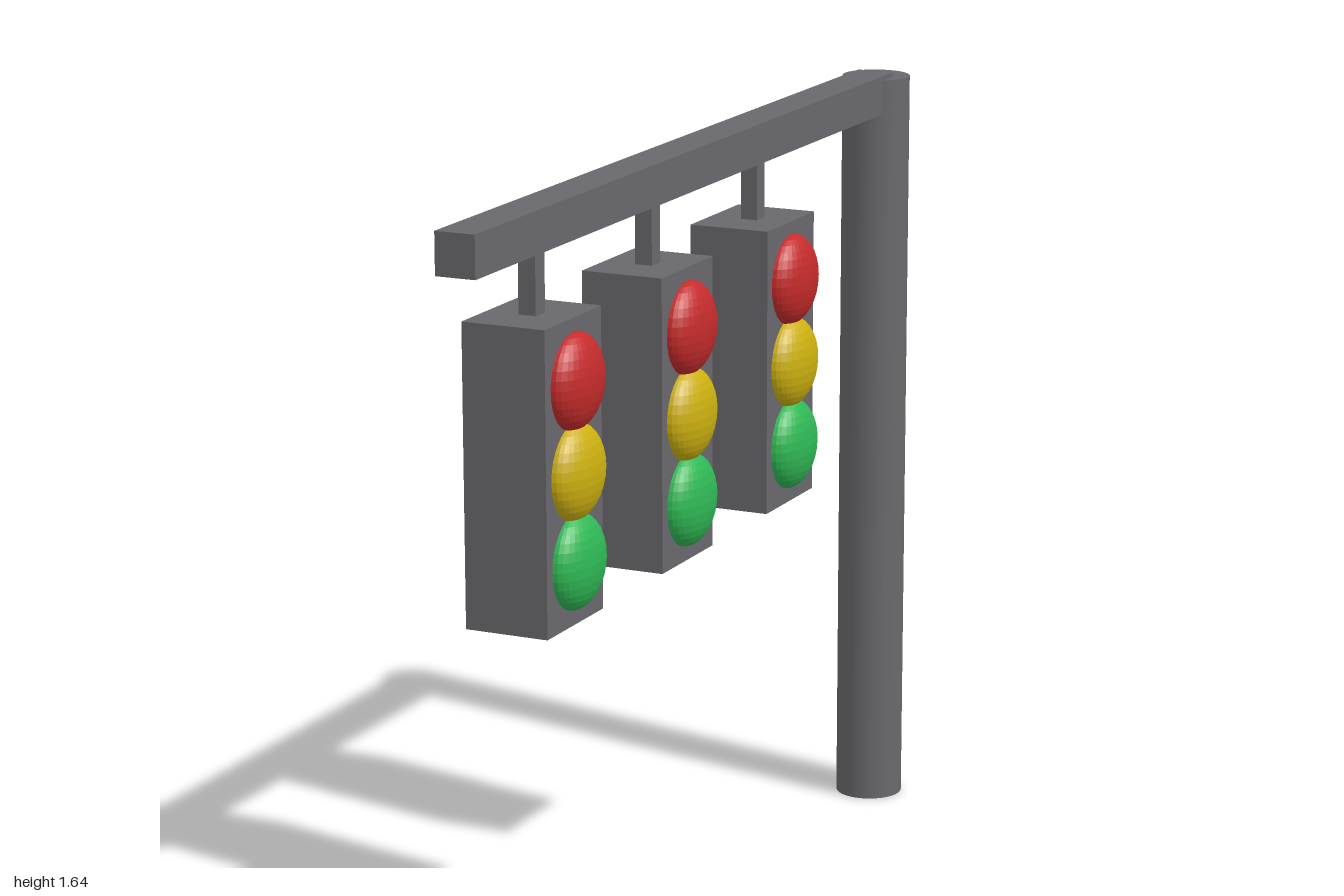
import * as THREE from 'three';

const paint = (color, flatShading = false) => new THREE.MeshStandardMaterial({ color, flatShading });

function addMesh(parent, name, geometry, material, x, y, z) {
  const mesh = new THREE.Mesh(geometry, material);
  mesh.name = name;
  mesh.position.set(x, y, z);
  parent.add(mesh);
  return mesh;
}

export function createModel() {
  const model = new THREE.Group();
  model.name = 'trafficLightGantry';
  const metal = paint(0x69696d);
  const axisX = -0.026;

  // Upright pole and the arm that reaches forward from its top
  addMesh(model, 'pole', new THREE.CylinderGeometry(0.073, 0.073, 1.632, 32), metal, axisX, 0.816, -0.927);
  addMesh(model, 'arm', new THREE.BoxGeometry(0.082, 0.083, 1.925), metal, axisX, 1.6, 0.0375);

  // Shared parts of the signal heads
  const housing = new THREE.BoxGeometry(0.172, 0.592, 0.232);
  const hanger = new THREE.BoxGeometry(0.036, 0.15, 0.038);
  const lens = new THREE.SphereGeometry(0.094, 32, 16).scale(0.51, 1, 1);
  const lamps = [
    ['redLamp', paint(0xc42b2b, true), 1.314],
    ['yellowLamp', paint(0xccb010, true), 1.14],
    ['greenLamp', paint(0x2fb855, true), 0.966],
  ];

  // Three signal heads hung from the arm, lamps facing +x
  for (const z of [0.704, 0.21, -0.284]) {
    const signal = new THREE.Group();
    signal.name = 'signalHead';
    signal.position.z = z;
    addMesh(signal, 'hanger', hanger, metal, axisX, 1.498, 0);
    addMesh(signal, 'housing', housing, metal, axisX, 1.138, 0);
    for (const [name, material, y] of lamps) addMesh(signal, name, lens, material, 0.06, y, 0);
    model.add(signal);
  }
  return model;
}
